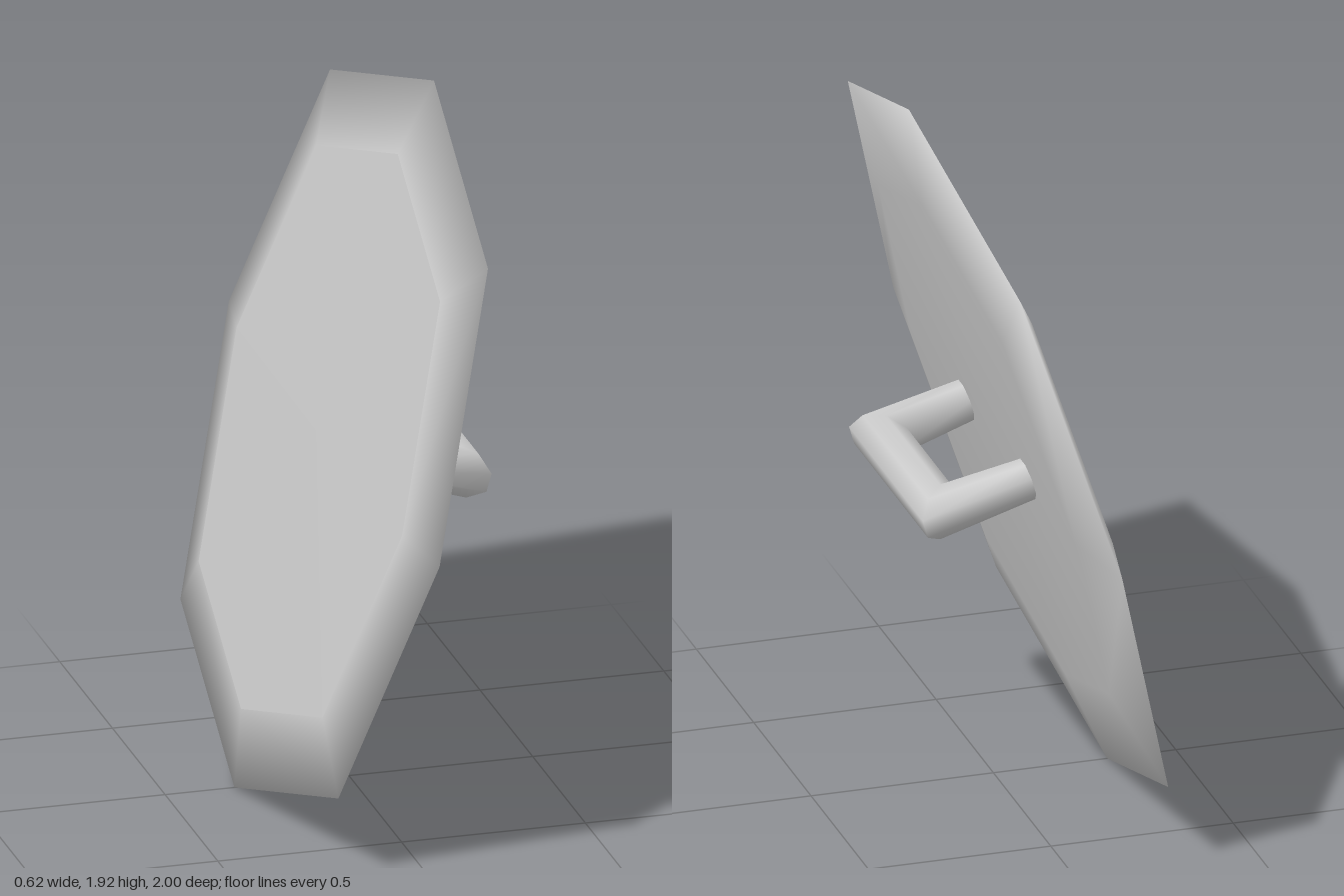
import * as THREE from 'three';

const SIDES = 8;
const material = new THREE.MeshStandardMaterial({ color: 0xcccccc });

// Skin a list of closed rings; an optional centre point caps the first ring.
function loft(rings, capCentre) {
  const points = rings.flat();
  const index = [];
  for (let r = 0; r < rings.length - 1; r++) {
    for (let i = 0; i < SIDES; i++) {
      const j = (i + 1) % SIDES;
      const a = r * SIDES + i, d = r * SIDES + j;
      const b = a + SIDES, c = d + SIDES;
      index.push(a, b, c, a, c, d);
    }
  }
  if (capCentre) {
    points.push(capCentre);
    for (let i = 0; i < SIDES; i++) index.push(points.length - 1, i, (i + 1) % SIDES);
  }
  const geometry = new THREE.BufferGeometry().setFromPoints(points);
  geometry.setIndex(index);
  geometry.computeVertexNormals();
  return geometry;
}

// Octagon whose diagonal corners reach slightly further than the axis ones.
function octagon(x, scale) {
  return Array.from({ length: SIDES }, (_, i) => {
    const angle = i * Math.PI / 4;
    const radius = scale * (i % 2 ? 1.06 : 1);
    return new THREE.Vector3(x, radius * Math.cos(angle), radius * Math.sin(angle));
  });
}

// Handle cross-section, spread along an outward direction and the y axis.
function section(x, z, outX, outZ, radius) {
  return Array.from({ length: SIDES }, (_, i) => {
    const angle = (i + 0.5) * Math.PI / 4;
    const c = radius * Math.cos(angle);
    return new THREE.Vector3(x + c * outX, 0.024 + radius * Math.sin(angle), z + c * outZ);
  });
}

function addMesh(parent, name, geometry) {
  const mesh = new THREE.Mesh(geometry, material);
  mesh.name = name;
  parent.add(mesh);
}

export function createModel() {
  const model = new THREE.Group();
  model.name = 'shield';

  // Everything is built facing +x, then leaned over
  const body = new THREE.Group();
  body.name = 'tiltedBody';
  body.rotation.z = -0.275;
  body.position.set(-0.04, 0.965, 0);
  model.add(body);

  // Inner face and sharp bevelled rim, smooth shaded
  const backRing = octagon(-0.042, 0.785);
  addMesh(body, 'plate', loft(
    [octagon(0.041, 0.72), octagon(0, 1), backRing],
    new THREE.Vector3(0.041, 0, 0)));

  // Outer face, a very shallow four-sided pyramid with hard edges
  const outer = [];
  for (let i = 0; i < SIDES; i++) {
    outer.push(new THREE.Vector3(-0.05, 0, 0), backRing[(i + 1) % SIDES], backRing[i]);
  }
  const outerFace = new THREE.BufferGeometry().setFromPoints(outer);
  outerFace.computeVertexNormals();
  addMesh(body, 'outerFace', outerFace);

  // Grip with two mitred corners, its feet sunk into the plate
  const mid = -0.05;
  addMesh(body, 'handle', loft([
    section(0.025, mid + 0.27, 0, 1, 0.056),
    section(0.288, mid + 0.26, 1, 1, 0.067),
    section(0.288, mid - 0.26, 1, -1, 0.067),
    section(0.025, mid - 0.27, 0, -1, 0.056),
  ]));

  return model;
}
